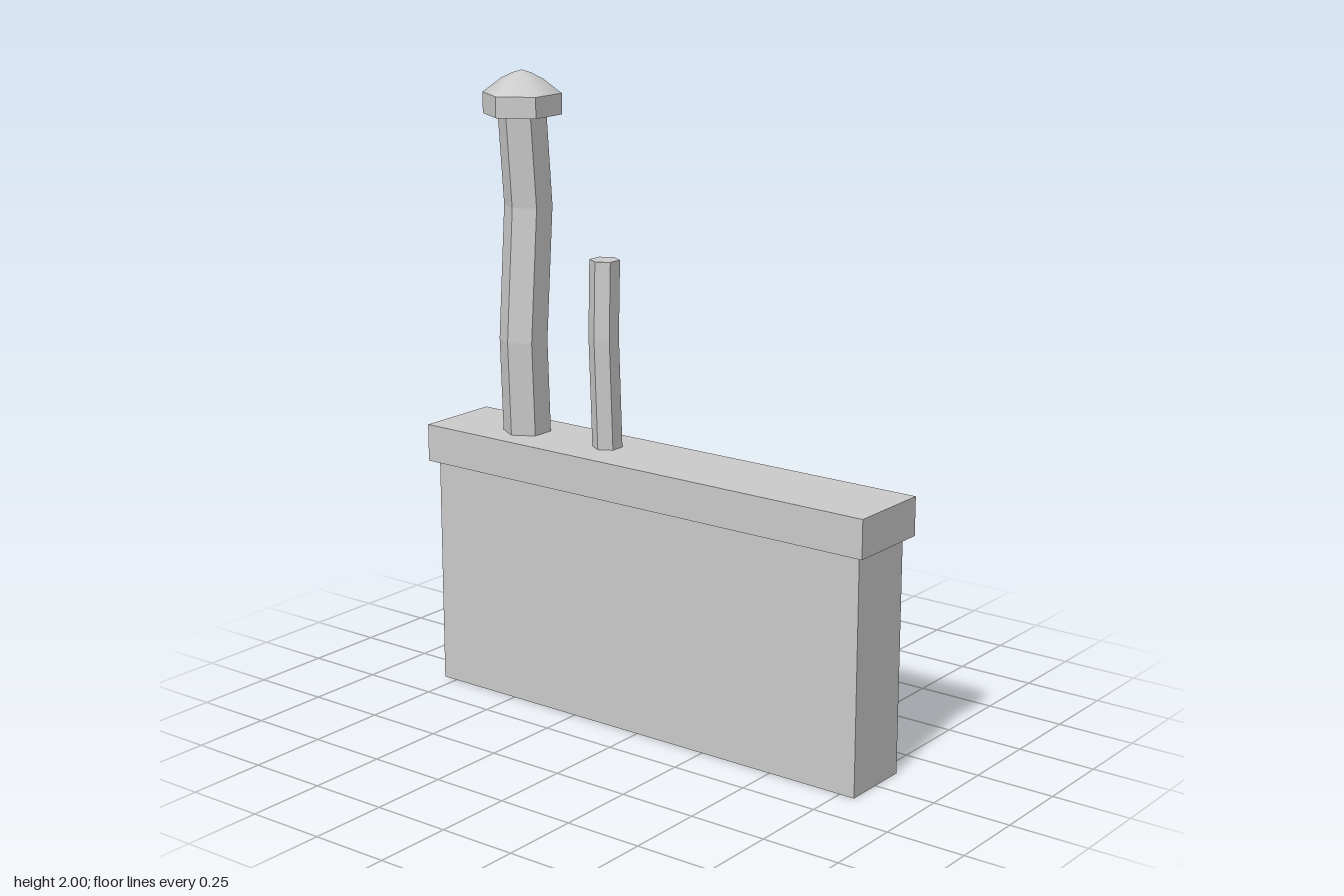
import * as THREE from 'three';

const flat = new THREE.MeshStandardMaterial({ color: 0xcccccc, flatShading: true });
const smooth = new THREE.MeshStandardMaterial({ color: 0xcccccc });

function add(group, name, geometry, x, y, z, material = flat) {
  const mesh = new THREE.Mesh(geometry, material);
  mesh.name = name;
  mesh.position.set(x, y, z);
  group.add(mesh);
  return mesh;
}

// Hexagonal prism with corners pointing to +x and -x
function hexPrism(radius, height, rows = 1) {
  return new THREE.CylinderGeometry(radius, radius, height, 6, rows).rotateY(Math.PI / 2);
}

// Crooked pipe: each level is [x offset, height], listed from bottom to top
function crookedPipe(radius, levels) {
  const rows = levels.length - 1;
  const geometry = hexPrism(radius, 1, rows);
  const p = geometry.attributes.position;
  for (let i = 0; i < p.count; i++) {
    const [dx, y] = levels[Math.round((p.getY(i) + 0.5) * rows)];
    p.setX(i, p.getX(i) + dx);
    p.setY(i, y);
  }
  geometry.computeVertexNormals();
  return geometry;
}

export function createModel() {
  const model = new THREE.Group();
  model.name = 'chimney';

  // Long narrow stack with an overhanging slab
  add(model, 'stack', new THREE.BoxGeometry(0.23, 0.74, 1.6), 0, 0.37, 0);
  add(model, 'topSlab', new THREE.BoxGeometry(0.28, 0.12, 1.65), 0, 0.8, 0);

  // Two bent flues
  add(model, 'tallPipe',
    crookedPipe(0.076, [[0.005, 0.76], [-0.01, 1.16], [0.022, 1.58], [-0.004, 1.9]]), 0, 0, -0.53);
  add(model, 'shortPipe',
    crookedPipe(0.047, [[0.012, 0.76], [0.003, 0.98], [-0.007, 1.21], [0, 1.45]]), 0, 0, -0.21);

  // Hexagonal cowl with a softly domed top
  const cowl = new THREE.Group();
  cowl.name = 'cowl';
  cowl.position.set(0, 1.865, -0.53);
  add(cowl, 'cowlRim', hexPrism(0.123, 0.065), 0, 0.0325, 0);
  const profile = [[0.123, 0.065], [0.107, 0.077], [0.065, 0.109], [0.03, 0.126], [0, 0.135]]
    .map(([r, y]) => new THREE.Vector2(r, y));
  add(cowl, 'cowlDome', new THREE.LatheGeometry(profile, 6, Math.PI / 2), 0, 0, 0, smooth);
  model.add(cowl);

  return model;
}
